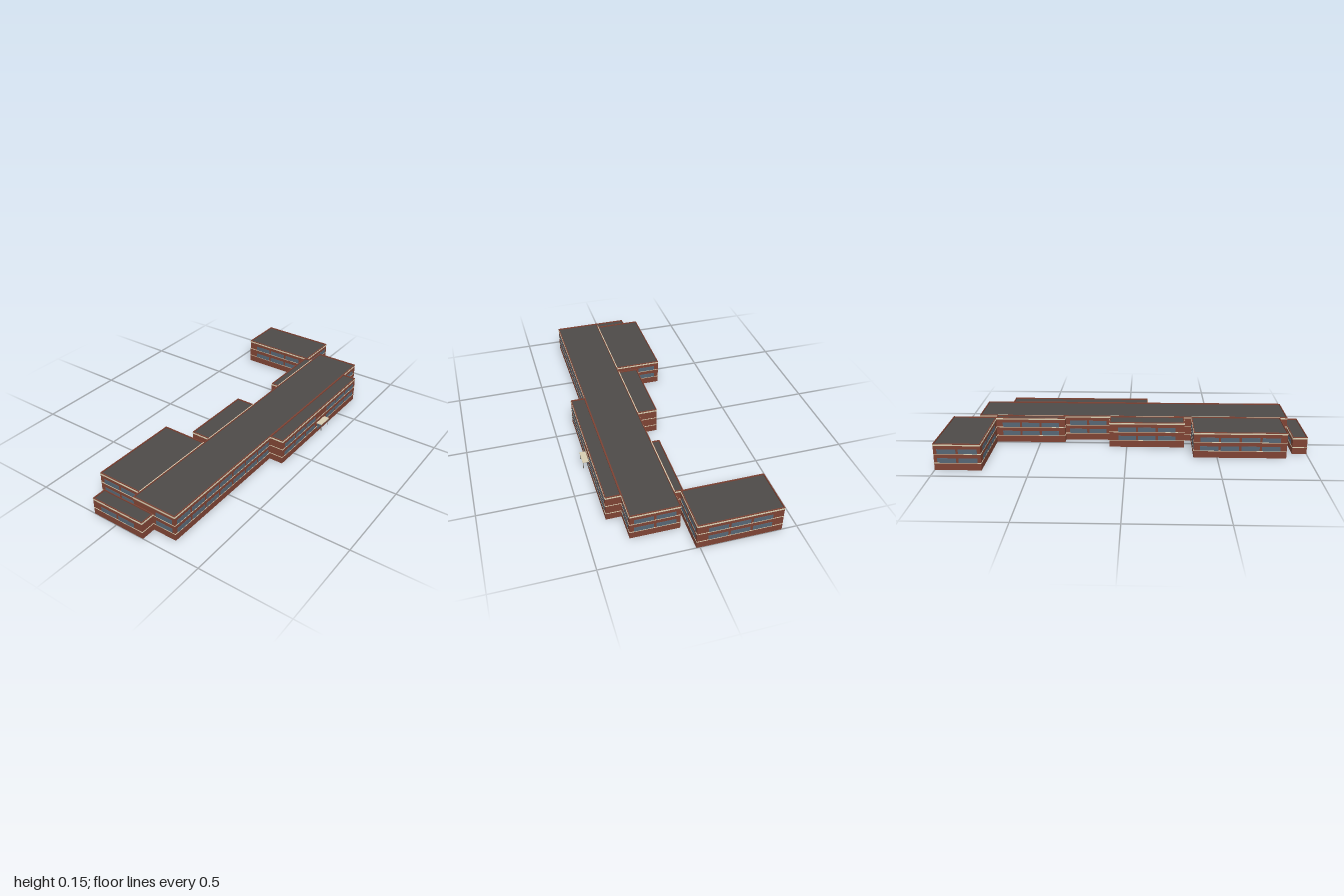
import * as THREE from 'three';

const mat = (name, color, side = THREE.FrontSide) => {
  const m = new THREE.MeshStandardMaterial({ color, side });
  m.name = name;
  return m;
};

export function createModel() {
  const brick = mat('brick', 0x7e4334);
  const roofing = mat('roofing', 0x4d4a48);
  const cream = mat('cream trim', 0xd6ccb0);
  const glass = mat('window glass', 0x566674);
  const metal = mat('post metal', 0x77756f);
  const model = new THREE.Group();
  model.name = 'building';

  // Box given by its lower and upper corner
  const box = (parent, name, material, a, b) => {
    const g = new THREE.BoxGeometry(b[0] - a[0], b[1] - a[1], b[2] - a[2]);
    const mesh = new THREE.Mesh(g, material);
    mesh.position.set((a[0] + b[0]) / 2, (a[1] + b[1]) / 2, (a[2] + b[2]) / 2);
    mesh.name = name;
    parent.add(mesh);
    return mesh;
  };

  const H = 0.148, LOW = 0.1, T = 0.004;

  // Hollow block: brick wall ring with parapet, and a sunken roof slab
  const block = (name, x0, x1, z0, z1, h) => {
    const group = new THREE.Group();
    group.name = name;
    const rect = (Type, d) => {
      const s = new Type();
      s.moveTo(x0 + d, -z1 + d);
      s.lineTo(x1 - d, -z1 + d);
      s.lineTo(x1 - d, -z0 - d);
      s.lineTo(x0 + d, -z0 - d);
      s.closePath();
      return s;
    };
    const ring = rect(THREE.Shape, 0);
    ring.holes.push(rect(THREE.Path, T));
    const g = new THREE.ExtrudeGeometry(ring, { depth: h, bevelEnabled: false });
    g.rotateX(-Math.PI / 2);
    const walls = new THREE.Mesh(g, brick);
    walls.name = name + 'Walls';
    group.add(walls);
    box(group, name + 'Roof', roofing,
      [x0 + T, h - 0.012, z0 + T], [x1 - T, h - 0.007, z1 - T]);
    model.add(group);
  };
  block('mainBlock', -0.92, 0.855, 0.05, 0.305, H);
  block('frontBlock', -0.118, 0.703, 0.305, 0.385, H);
  block('backLargeWing', -0.877, -0.37, -0.21, 0.05, H);
  block('backMiddleWing', -0.325, 0.097, -0.06, 0.05, H);
  block('backNarrowWing', 0.357, 0.752, 0.005, 0.05, H);
  block('sideWing', 0.752, 1.0, -0.42, 0.018, H);
  block('lowAnnex', -1.0, -0.92, -0.145, 0.17, LOW);

  // Exposed facade from (x0,z0) to (x1,z1), outside on the right-hand side
  const PITCH = 0.1122, WIN = 0.0995;
  const facade = (x0, z0, x1, z1, { h = H, skip = -1, corniceOnly = false } = {}) => {
    const L = Math.hypot(x1 - x0, z1 - z0);
    const group = new THREE.Group();
    group.name = 'facade';
    group.position.set((x0 + x1) / 2, 0, (z0 + z1) / 2);
    group.rotation.y = Math.atan2(-(z1 - z0), x1 - x0);
    model.add(group);
    const e = L / 2;
    box(group, 'cornice', cream, [-e, h - 0.012, -0.001], [e, h - 0.005, 0.002]);
    if (corniceOnly) return;
    const floors = h === H ? [0.04, 0.09] : [0.04];
    const bays = Math.floor(L / PITCH);
    for (const y of floors) {
      box(group, 'sillBand', cream, [-e, y - 0.0015, -0.001], [e, y + 0.0015, 0.002]);
      for (let i = 0; i < bays; i++) {
        if (i === skip) continue;
        const c = (i - (bays - 1) / 2) * PITCH;
        box(group, 'window', glass,
          [c - WIN / 2, y + 0.0015, -0.001], [c + WIN / 2, y + 0.027, 0.0012]);
      }
    }
  };

  // Front
  facade(-0.92, 0.305, -0.118, 0.305);
  facade(-0.118, 0.385, 0.703, 0.385, { skip: 3 });
  facade(0.703, 0.305, 0.855, 0.305);
  facade(0.752, 0.018, 1, 0.018);
  facade(-1, 0.17, -0.92, 0.17, { h: LOW });
  // Left side (+x)
  facade(0.703, 0.385, 0.703, 0.305);
  facade(0.855, 0.305, 0.855, 0.05);
  facade(1, 0.018, 1, -0.42);
  facade(0.752, 0.05, 0.752, 0.018);
  facade(0.097, 0.05, 0.097, -0.06);
  facade(-0.37, 0.05, -0.37, -0.21);
  facade(-0.92, 0.05, -0.92, -0.145, { h: LOW });
  // Back
  facade(1, -0.42, 0.752, -0.42);
  facade(0.855, 0.05, 0.752, 0.05);
  facade(0.752, 0.005, 0.357, 0.005);
  facade(0.357, 0.05, 0.097, 0.05);
  facade(0.097, -0.06, -0.325, -0.06);
  facade(-0.325, 0.05, -0.37, 0.05);
  facade(-0.37, -0.21, -0.877, -0.21);
  facade(-0.877, 0.05, -0.92, 0.05);
  facade(-0.92, -0.145, -1, -0.145, { h: LOW });
  // Right side (-x)
  facade(-0.118, 0.305, -0.118, 0.385);
  facade(-0.92, 0.17, -0.92, 0.305);
  facade(-0.92, 0.05, -0.92, 0.17, { corniceOnly: true });
  facade(-1, -0.145, -1, 0.17, { h: LOW });
  facade(-0.877, -0.21, -0.877, 0.05);
  facade(-0.325, -0.06, -0.325, 0.05);
  facade(0.357, 0.005, 0.357, 0.05);
  facade(0.752, -0.42, 0.752, 0.005);

  // Flashing where the back wings meet the main roof
  for (const [a, b] of [[-0.877, -0.37], [-0.325, 0.097], [0.357, 0.752]])
    box(model, 'roofFlashing', cream, [a, H - 0.001, 0.047], [b, H + 0.0004, 0.052]);

  // Entrance: door, canopy and two posts
  const cx = 0.29;
  box(model, 'door', glass, [cx - 0.034, 0.022, 0.384], [cx + 0.034, 0.062, 0.3875]);
  box(model, 'canopy', cream, [cx - 0.043, 0.064, 0.384], [cx + 0.043, 0.068, 0.418]);
  for (const s of [-1, 1]) {
    const x = cx + s * 0.039;
    box(model, 'canopyPost', metal, [x - 0.0015, 0.024, 0.413], [x + 0.0015, 0.064, 0.416]);
  }
  return model;
}
